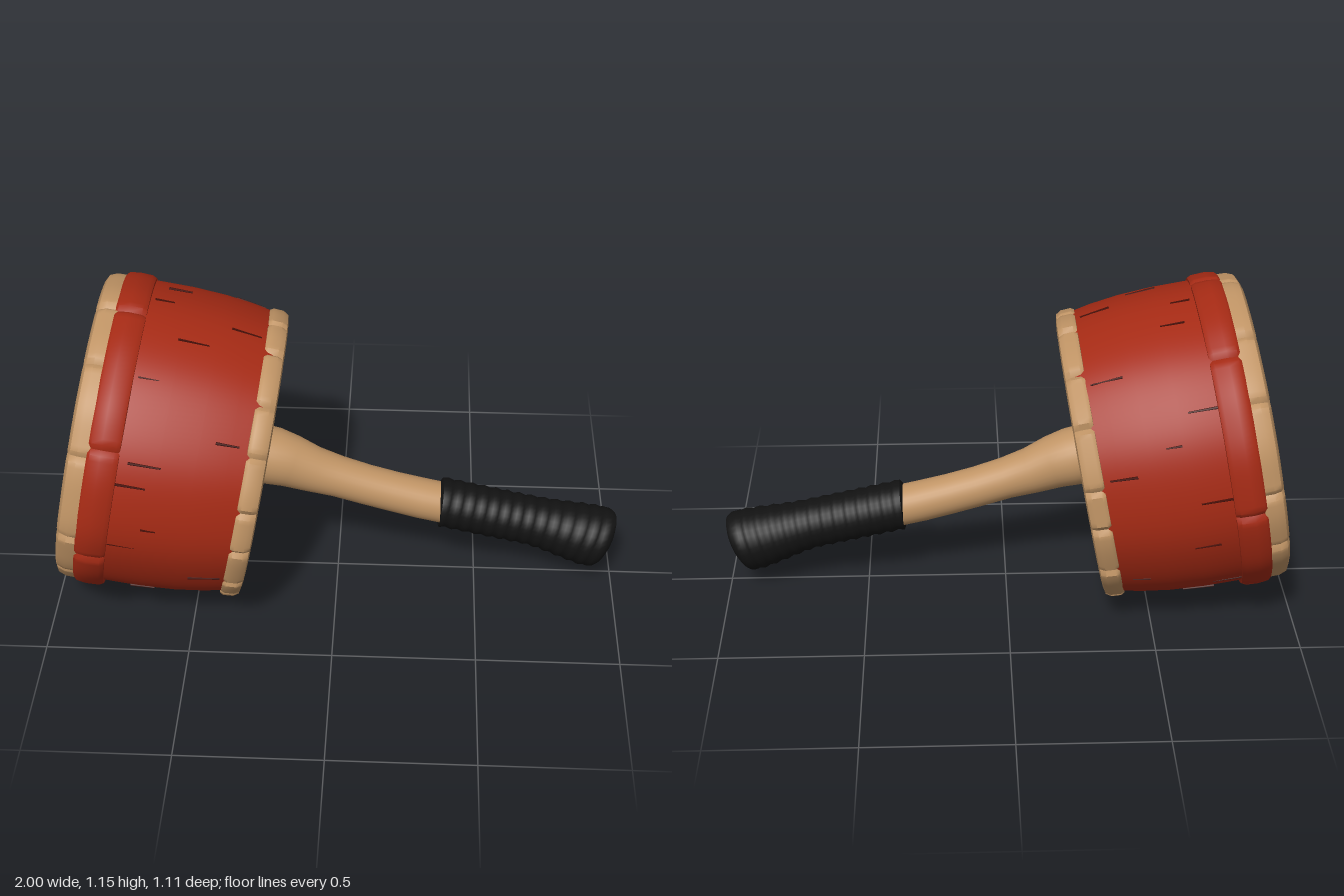
import * as THREE from 'three';
import { mergeVertices, toCreasedNormals } from 'three/addons/utils/BufferGeometryUtils.js';

const material = (name, color) => {
  const m = new THREE.MeshStandardMaterial({ color });
  m.name = name;
  return m;
};

// Weld and shade smoothly, keeping hard edges
function finish(geometry, crease = 0.7) {
  geometry.deleteAttribute('uv');
  geometry.deleteAttribute('normal');
  return toCreasedNormals(mergeVertices(geometry, 1e-4), crease);
}

// Turned wooden part: slightly uneven, with carved seams at the given columns
const COLUMNS = 180;
function turned(profile, { seams = [], depth = 0.014, wobble = 0.004, waves = 7 } = {}) {
  const geometry = new THREE.LatheGeometry(profile.map(([r, y]) => new THREE.Vector2(r, y)), COLUMNS);
  const p = geometry.attributes.position;
  for (let i = 0; i < p.count; i++) {
    const column = Math.floor(i / profile.length) % COLUMNS;
    const [r, y] = profile[i % profile.length];
    if (r < 0.1) continue;
    const a = column / COLUMNS * Math.PI * 2;
    let radius = r + wobble * (Math.sin(waves * a + 1) * 0.6 + Math.sin((waves * 2 + 1) * a) * 0.4);
    if (seams.includes(column)) radius -= depth;
    p.setXYZ(i, radius * Math.sin(a), y, radius * Math.cos(a));
  }
  return finish(geometry);
}

// Capped sweep through sections [x, y, radius in plane, radius across]
function sweep(sections, sides = 32) {
  const path = new THREE.CatmullRomCurve3(sections.map(([x, y]) => new THREE.Vector3(x, y, 0)));
  const pos = [], index = [];
  sections.forEach(([x, y, ry, rz], i) => {
    const t = path.getTangent(i / (sections.length - 1));
    for (let j = 0; j < sides; j++) {
      const a = j / sides * Math.PI * 2;
      pos.push(x - t.y * Math.cos(a) * ry, y + t.x * Math.cos(a) * ry, Math.sin(a) * rz);
    }
  });
  const last = sections.length - 1;
  for (let i = 0; i < last; i++) {
    for (let j = 0; j < sides; j++) {
      const a = i * sides + j, b = i * sides + (j + 1) % sides;
      index.push(a, b, a + sides, b, b + sides, a + sides);
    }
  }
  const start = pos.length / 3;
  pos.push(sections[0][0], sections[0][1], 0, sections[last][0], sections[last][1], 0);
  for (let j = 0; j < sides; j++) {
    const k = (j + 1) % sides;
    index.push(start, k, j, start + 1, last * sides + j, last * sides + k);
  }
  const geometry = new THREE.BufferGeometry();
  geometry.setAttribute('position', new THREE.Float32BufferAttribute(pos, 3));
  geometry.setIndex(index);
  return finish(geometry, 0.8);
}

export function createModel() {
  const red = material('red paint', 0xa52a14);
  const cream = material('pale wood', 0xc09465);
  const brown = material('brown end', 0x6a3b29);
  const black = material('black wrap', 0x121212);
  const dark = material('dark cracks', 0x4a1008);

  const model = new THREE.Group();
  model.name = 'mallet';
  const add = (parent, name, geometry, mat) => {
    const mesh = new THREE.Mesh(geometry, mat);
    mesh.name = name;
    parent.add(mesh);
    return mesh;
  };

  // Barrel head, built along y and tilted onto the handle axis
  const head = new THREE.Group();
  head.name = 'head';
  head.position.set(-0.9, 0.625, 0);
  head.rotation.z = -THREE.MathUtils.degToRad(100.5);
  model.add(head);

  const bodyProfile = [[0.53, 0.14], [0.535, 0.17], [0.535, 0.3], [0.528, 0.42], [0.515, 0.52], [0.497, 0.61]];
  add(head, 'barrel', turned(bodyProfile, { wobble: 0.003, waves: 5 }), red);
  add(head, 'band', turned([
    [0.5, 0.065], [0.54, 0.066], [0.55, 0.075], [0.555, 0.11], [0.553, 0.155], [0.545, 0.17], [0.52, 0.172],
  ], { seams: [9, 34, 63, 88, 117, 139, 166], depth: 0.012, wobble: 0.003 }), red);
  add(head, 'backRim', turned([
    [0.465, 0.05], [0.468, 0.018], [0.482, 0.003], [0.51, 0], [0.529, 0.01], [0.539, 0.035], [0.54, 0.075], [0.48, 0.08],
  ], { seams: [5, 18, 33, 46, 62, 79, 91, 108, 121, 138, 151, 168], wobble: 0.005 }), cream);
  add(head, 'frontRim', turned([
    [0.49, 0.575], [0.508, 0.578], [0.515, 0.59], [0.513, 0.625], [0.502, 0.643], [0.478, 0.648], [0.46, 0.638], [0.454, 0.605],
  ], { seams: [3, 14, 22, 34, 43, 55, 64, 78, 89, 97, 109, 120, 132, 141, 153, 163, 174], wobble: 0.004 }), cream);
  add(head, 'backFace', turned([[0, 0.03], [0.3, 0.03], [0.475, 0.032]]), brown);
  add(head, 'frontFace', turned([[0.47, 0.622], [0.3, 0.626], [0, 0.628]]), red);

  // Thin cracks running along the staves: [angle, start, length]
  const radiusAt = (y) => {
    const i = Math.max(1, bodyProfile.findIndex((q) => q[1] >= y));
    const [a, b] = [bodyProfile[i - 1], bodyProfile[i]];
    return a[0] + (b[0] - a[0]) * (y - a[1]) / (b[1] - a[1]);
  };
  for (let i = 0; i < 26; i++) {
    const a = i / 26 * Math.PI * 2 + 0.08 * Math.sin(i * 5);
    const length = 0.05 + 0.06 * Math.abs(Math.sin(i * 2.3));
    const y = i % 3 === 0 ? 0.3 + 0.05 * Math.sin(i) : i % 3 === 1 ? 0.22 : 0.51;
    const lean = Math.atan2(radiusAt(y + 0.03) - radiusAt(y - 0.03), 0.06);
    const crack = add(head, 'crack', new THREE.CylinderGeometry(0.003, 0.005, length, 4), dark);
    const r = radiusAt(y) + 0.0005;
    crack.position.set(r * Math.sin(a), y, r * Math.cos(a));
    crack.rotation.set(lean, a, 0, 'YXZ');
  }
  // Knots in the front face: [up, side, length]
  for (const [up, side, length] of [[0.3, 0.17, 0.07], [0.02, 0.39, 0.02], [0.02, -0.13, 0.05]]) {
    const knot = add(head, 'faceCrack', new THREE.BoxGeometry(length, 0.006, 0.007), dark);
    knot.position.set(-up, 0.625, side);
    knot.rotation.y = side < 0 ? 1.3 : 0.1;
  }

  // Handle, flaring where it enters the head
  add(model, 'handle', sweep([
    [-0.3, 0.515, 0.105, 0.105], [-0.23, 0.498, 0.103, 0.104], [-0.17, 0.478, 0.096, 0.092],
    [-0.09, 0.444, 0.084, 0.08], [0, 0.415, 0.074, 0.075], [0.1, 0.382, 0.072, 0.073],
    [0.2, 0.353, 0.072, 0.073], [0.3, 0.327, 0.073, 0.075], [0.42, 0.3, 0.073, 0.075],
  ]), cream);

  // Wrapped grip with ridges, swelling to a slanted rounded butt
  const grip = [[0.368, 0.313, 0.075, 0.078]];
  const turns = 13;
  for (let i = 0; i <= turns * 4; i++) {
    const t = i / (turns * 4);
    const swell = THREE.MathUtils.smoothstep(t, 0.55, 1);
    const r = 0.087 + 0.022 * swell + 0.003 * Math.sin(i * Math.PI / 2);
    grip.push([0.37 + 0.56 * t, 0.313 - 0.125 * t - 0.013 * swell, r, r + 0.003]);
  }
  grip.push([0.95, 0.171, 0.109, 0.107], [0.964, 0.167, 0.1, 0.097], [0.974, 0.164, 0.078, 0.075], [0.978, 0.163, 0.045, 0.043]);
  // Lean the butt so its upper edge reaches furthest
  const gripGeometry = sweep(grip);
  const p = gripGeometry.attributes.position;
  for (let i = 0; i < p.count; i++) {
    const k = THREE.MathUtils.smoothstep(p.getX(i), 0.8, 0.95);
    p.setX(i, p.getX(i) + k * 0.14 * (p.getY(i) - 0.17));
  }
  gripGeometry.computeVertexNormals();
  add(model, 'grip', finish(gripGeometry, 0.8), black);

  return model;
}
